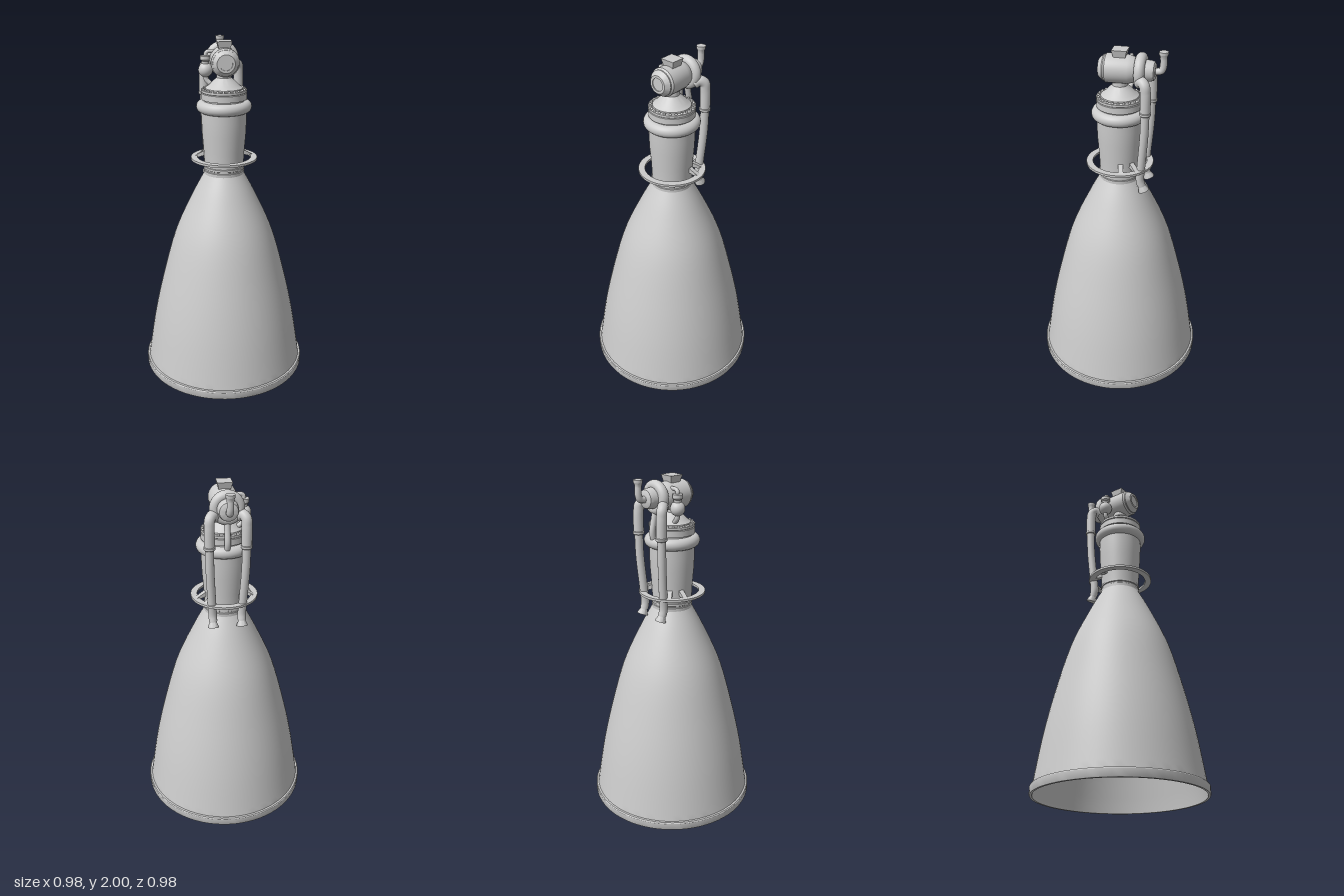
import * as THREE from 'three';
import { toCreasedNormals } from 'three/addons/utils/BufferGeometryUtils.js';

const metal = new THREE.MeshStandardMaterial({ color: 0xcccccc, side: THREE.DoubleSide });
const V = (x, y, z) => new THREE.Vector3(x, y, z);

function add(parent, name, geometry, x = 0, y = 0, z = 0) {
  const m = new THREE.Mesh(geometry, metal);
  m.name = name;
  m.position.set(x, y, z);
  parent.add(m);
  return m;
}

// Turned part from [radius, height] pairs, edges kept sharp
function turned(pairs, segments = 48) {
  const pts = pairs.map(([r, h]) => new THREE.Vector2(r, h));
  return toCreasedNormals(new THREE.LatheGeometry(pts, segments), 0.5);
}

// Smooth pipe through points
function pipe(points, radius, segments = 40) {
  const curve = new THREE.CatmullRomCurve3(points.map(p => V(...p)));
  return new THREE.TubeGeometry(curve, segments, radius, 16);
}

// Turned part placed along a direction
function turnedAlong(parent, name, pairs, from, dir, segments = 24) {
  const m = add(parent, name, turned(pairs, segments), ...from);
  m.quaternion.setFromUnitVectors(V(0, 1, 0), V(...dir).normalize());
  return m;
}

export function createModel() {
  const model = new THREE.Group();
  model.name = 'rocketEngine';

  // Bell: inner wall down, lip, outer wall up
  const wall = new THREE.SplineCurve([
    [0.477, 0.05], [0.43, 0.335], [0.37, 0.6], [0.29, 0.88], [0.187, 1.11], [0.116, 1.245],
  ].map(p => new THREE.Vector2(...p))).getPoints(24).map(p => [p.x, p.y]);
  const inner = wall.map(([r, y]) => [r - 0.008, y]).reverse();
  add(model, 'nozzleBell', turned([...inner, [0.475, 0], [0.483, 0], [0.483, 0.05], ...wall], 72));
  add(model, 'bellRim', turned(
    [[0.475, 0], [0.488, 0], [0.491, 0.006], [0.491, 0.044], [0.487, 0.05], [0.475, 0.052]], 72));

  // Throat collar and combustion chamber
  add(model, 'throatCollar', turned([[0.1, 1.235], [0.117, 1.24], [0.117, 1.262], [0.112, 1.266],
    [0.112, 1.272], [0.118, 1.276], [0.118, 1.288], [0.11, 1.292]]));
  add(model, 'chamber', turned([[0, 1.25], [0.113, 1.25], [0.114, 1.3], [0.118, 1.38],
    [0.126, 1.48], [0.129, 1.56], [0.129, 1.66], [0, 1.66]]));
  const manifold = add(model, 'manifoldRing', new THREE.TorusGeometry(0.124, 0.034, 20, 64), 0, 1.638, 0);
  manifold.rotation.x = Math.PI / 2;

  // Injector flange, dome and neck
  add(model, 'injectorFlange', turned([[0, 1.655], [0.118, 1.655], [0.118, 1.677], [0.13, 1.68],
    [0.13, 1.715], [0.126, 1.718], [0.13, 1.721], [0.13, 1.734], [0, 1.736]]));
  add(model, 'injectorDome', turned([[0.108, 1.732], [0.106, 1.742], [0.085, 1.757], [0.062, 1.782],
    [0.048, 1.793], [0.042, 1.80], [0.042, 1.84], [0, 1.84]]));
  const bolts = new THREE.Group();
  bolts.name = 'flangeBolts';
  model.add(bolts);
  for (let i = 0; i < 24; i++) {
    const a = (i + 0.5) / 24 * Math.PI * 2;
    add(bolts, 'bolt', new THREE.SphereGeometry(0.0075, 10, 8), 0.119 * Math.sin(a), 1.736, 0.119 * Math.cos(a));
  }

  // Flat support ring and its brackets
  add(model, 'supportRing', turned(
    [[0.155, 1.328], [0.192, 1.328], [0.192, 1.341], [0.155, 1.341], [0.155, 1.328]], 64));
  const gusset = new THREE.Shape([[0.11, 1.375], [0.11, 1.345], [0.165, 1.328], [0.17, 1.341]]
    .map(p => new THREE.Vector2(...p)));
  const gussetGeo = new THREE.ExtrudeGeometry(gusset, { depth: 0.028, bevelEnabled: false });
  gussetGeo.translate(0, 0, -0.014);
  for (const deg of [14, 46, 134, 166]) {
    add(model, 'ringBracket', gussetGeo).rotation.y = THREE.MathUtils.degToRad(deg);
  }

  // Turbopump lying along z
  turnedAlong(model, 'pumpBody', [[0, -0.115], [0.045, -0.115], [0.066, -0.085], [0.077, -0.05],
    [0.079, 0.072], [0.071, 0.082], [0.071, 0.088], [0.05, 0.113], [0.036, 0.113], [0.036, 0.108], [0, 0.108]],
  [0, 1.89, 0], [0, 0, 1], 40);
  const inlet = add(model, 'pumpTopInlet', new THREE.CylinderGeometry(0.059, 0.042, 0.05, 4).toNonIndexed(), 0, 1.975, -0.002);
  inlet.geometry.rotateY(Math.PI / 4);
  inlet.geometry.computeVertexNormals();
  add(model, 'pumpVolute', new THREE.TorusGeometry(0.066, 0.029, 20, 48), 0, 1.89, -0.115);
  turnedAlong(model, 'pumpRearHousing', [[0, 0], [0.06, 0], [0.056, 0.07], [0.05, 0.088], [0.036, 0.095], [0, 0.095]],
    [0, 1.89, -0.1], [0, 0, -1], 32);

  // Rear elbow rising to a flared mouth
  add(model, 'rearElbow', pipe([[0, 1.89, -0.18], [0, 1.89, -0.205], [0, 1.896, -0.224],
    [0, 1.915, -0.233], [0, 1.985, -0.234]], 0.019));
  add(model, 'elbowMouth', turned([[0.019, 1.96], [0.02, 1.975], [0.025, 1.985], [0.025, 2], [0, 2]], 24), 0, 0, -0.234);

  // Two feed pipes behind the chamber, each with a sleeve and a flared end
  for (const s of [1, -1]) {
    const side = new THREE.Group();
    side.name = s > 0 ? 'leftFeedPipe' : 'rightFeedPipe';
    model.add(side);
    add(side, 'upperBend', pipe([[s * 0.06, 1.84, -0.115], [s * 0.08, 1.856, -0.132],
      [s * 0.097, 1.84, -0.152], [s * 0.1, 1.80, -0.158], [s * 0.1, 1.68, -0.159]], 0.029));
    add(side, 'downPipe', pipe([[s * 0.1, 1.69, -0.159], [s * 0.098, 1.55, -0.155],
      [s * 0.088, 1.36, -0.14], [s * 0.083, 1.27, -0.134], [s * 0.082, 1.235, -0.142]], 0.024));
    add(side, 'sleeve', turned([[0.028, 0], [0.032, 0.004], [0.032, 0.016], [0.028, 0.02]], 24), s * 0.1, 1.675, -0.159);
    turnedAlong(side, 'flaredEnd', [[0, 0], [0.022, 0], [0.021, 0.022], [0.031, 0.045], [0.031, 0.052], [0, 0.052]],
      [s * 0.082, 1.25, -0.138], [0, -1, -0.4]);
  }

  // Small return pipe from the volute to the manifold
  add(model, 'returnPipe', pipe([[0, 1.84, -0.115], [0, 1.77, -0.13], [0, 1.70, -0.142], [0, 1.65, -0.13]], 0.017));

  // Round valve beside the pump, with cap and crossover pipe
  const valve = new THREE.Group();
  valve.name = 'sideValve';
  valve.position.set(-0.1, 0, -0.045);
  model.add(valve);
  add(valve, 'valveBall', new THREE.SphereGeometry(0.041, 28, 20), 0, 1.836, 0);
  add(valve, 'valveCap', turned([[0, 1.86], [0.02, 1.86], [0.022, 1.885], [0.029, 1.893], [0.029, 1.914], [0, 1.916]], 24));
  add(valve, 'crossoverPipe', pipe([[0, 1.91, 0], [0.002, 1.928, 0], [0.012, 1.937, 0], [0.055, 1.938, 0]], 0.011));
  add(valve, 'valveDrain', pipe([[0, 1.81, 0], [0.005, 1.78, 0], [0.03, 1.755, 0.006], [0.05, 1.735, 0.01]], 0.014));

  return model;
}
